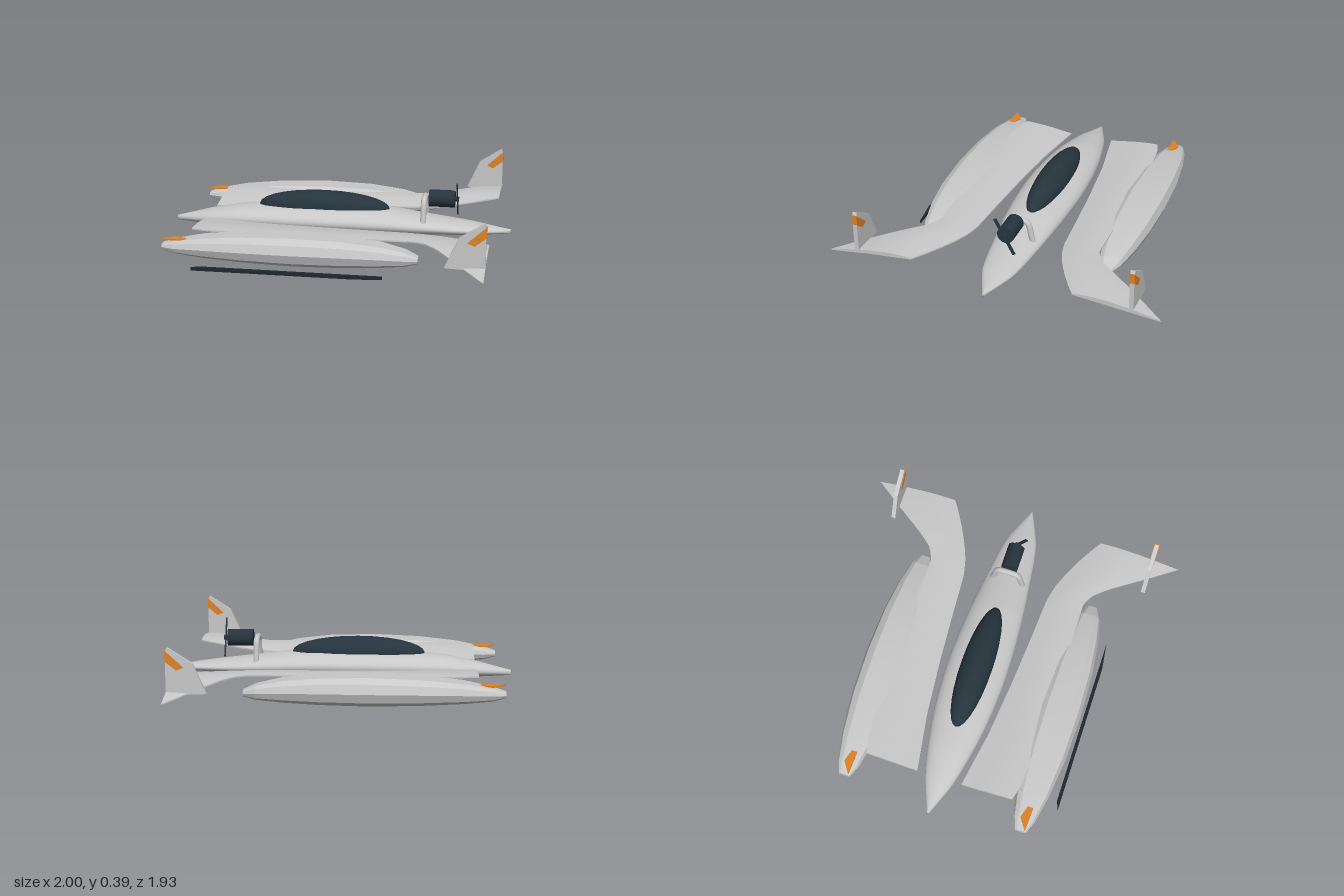
import * as THREE from 'three';
import { toCreasedNormals } from 'three/addons/utils/BufferGeometryUtils.js';

const material = (name, color, flatShading = false) =>
  Object.assign(new THREE.MeshStandardMaterial({ color, flatShading }), { name });

// Skin a list of stations { x, ring }, each ring running from +z over +y as [z, y]
function loft(stations) {
  const n = stations[0].ring.length, pos = [], index = [];
  stations.forEach(({ x, ring }) => ring.forEach(([z, y]) => pos.push(x, y, z)));
  for (let i = 0; i < stations.length - 1; i++) {
    for (let j = 0; j < n; j++) {
      const k = (j + 1) % n, a = i * n, b = a + n;
      index.push(a + j, b + j, a + k, b + j, b + k, a + k);
    }
  }
  const e = (stations.length - 1) * n;
  for (let j = 1; j < n - 1; j++) index.push(0, j, j + 1, e, e + j + 1, e + j);
  const g = new THREE.BufferGeometry();
  g.setAttribute('position', new THREE.Float32BufferAttribute(pos, 3));
  g.setIndex(index);
  g.computeVertexNormals();
  return g;
}

// Smooth curve through the first two numbers of each row
const sample = (rows, count, pick) =>
  new THREE.CatmullRomCurve3(rows.map(pick)).getPoints(count);

// Flat outline in x and y with a thickness, centred on z
function plate(points, thickness) {
  const shape = new THREE.Shape(points.map(([x, y]) => new THREE.Vector2(x, y)));
  return new THREE.ExtrudeGeometry(shape, { depth: thickness, bevelEnabled: false })
    .translate(0, 0, -thickness / 2);
}

// Linear interpolation in a table of [input, output]
function lookup(table, v) {
  let i = 1;
  while (i < table.length - 1 && table[i][0] < v) i++;
  const [a, b] = [table[i - 1], table[i]];
  return a[1] + (b[1] - a[1]) * THREE.MathUtils.clamp((v - a[0]) / (b[0] - a[0]), 0, 1);
}

// Hull rows: x, half width, top, bottom
const HULL = [
  [-1, 0.006, 0.1, 0.07], [-0.9, 0.047, 0.125, 0.066], [-0.8, 0.085, 0.15, 0.063],
  [-0.6, 0.132, 0.188, 0.06], [-0.4, 0.163, 0.206, 0.06], [-0.15, 0.18, 0.217, 0.06],
  [0.1, 0.175, 0.215, 0.061], [0.3, 0.16, 0.202, 0.064], [0.5, 0.137, 0.175, 0.07],
  [0.78, 0.095, 0.142, 0.078], [0.9, 0.05, 0.125, 0.082], [1, 0.006, 0.112, 0.086],
];
// Float rows: x, half width, top, bottom
const FLOAT = [
  [-0.935, 0.035, 0.1, 0.068], [-0.86, 0.065, 0.122, 0.052], [-0.7, 0.098, 0.152, 0.04],
  [-0.46, 0.125, 0.175, 0.03], [-0.18, 0.134, 0.185, 0.024], [0.1, 0.124, 0.178, 0.028],
  [0.3, 0.1, 0.157, 0.036], [0.45, 0.068, 0.125, 0.046], [0.52, 0.034, 0.095, 0.06],
];
const FLOAT_SECTION = [[1, 0], [0.86, 0.65], [0.53, 1], [-0.53, 1], [-0.86, 0.65],
  [-1, 0], [-0.86, -0.65], [-0.53, -1], [0.53, -1], [0.86, -0.65]];
// Wing edges as x, z and its arch as z, y
const WING_INNER = [[-0.79, 0.134], [-0.45, 0.19], [-0.1, 0.225], [0.2, 0.247], [0.45, 0.263],
  [0.55, 0.285], [0.65, 0.325], [0.75, 0.375], [0.85, 0.432], [0.905, 0.47]];
const WING_OUTER = [[-0.79, 0.44], [-0.7, 0.465], [-0.5, 0.48], [0.2, 0.485], [0.48, 0.482],
  [0.55, 0.512], [0.62, 0.59], [0.7, 0.697], [0.78, 0.805], [0.905, 0.963]];
const WING_ARCH = [[0.13, 0.128], [0.2, 0.132], [0.3, 0.144], [0.4, 0.156], [0.5, 0.163],
  [0.6, 0.161], [0.7, 0.15], [0.8, 0.136], [0.963, 0.11]];

function wingGeometry(side) {
  const stations = [], steps = 44, across = 12;
  for (let i = 0; i <= steps; i++) {
    const x = THREE.MathUtils.lerp(-0.79, 0.905, i / steps);
    const zi = lookup(WING_INNER, x), zo = lookup(WING_OUTER, x);
    const upper = [], lower = [];
    for (let j = 0; j <= across; j++) {
      const u = j / across, z = zo + (zi - zo) * u, y = lookup(WING_ARCH, z);
      const h = 0.004 + 0.007 * Math.sin(Math.PI * u);
      upper.push([z, y + h]);
      lower.unshift([z, y - h]);
    }
    let ring = [...upper, ...lower];
    if (side < 0) ring = ring.map(([z, y]) => [-z, y]).reverse();
    stations.push({ x, ring });
  }
  return toCreasedNormals(loft(stations), 0.7);
}

export function createModel() {
  const model = new THREE.Group();
  model.name = 'seaplane';
  const grey = material('paleGrey', 0xc8c8c8);
  const greyFlat = grey;
  const dark = material('darkSlate', 0x26343d);
  const black = material('paddleBlack', 0x20272c);
  const orange = material('orange', 0xe08226);
  const add = (name, geometry, mat, x = 0, y = 0, z = 0) => {
    const mesh = new THREE.Mesh(geometry, mat);
    mesh.name = name;
    mesh.position.set(x, y, z);
    model.add(mesh);
    return mesh;
  };

  // Slim pointed hull
  const widths = sample(HULL, 44, r => new THREE.Vector3(r[0], r[1], 0));
  add('hull', loft(widths.map(p => {
    const top = lookup(HULL.map(r => [r[0], r[2]]), p.x);
    const bottom = lookup(HULL.map(r => [r[0], r[3]]), p.x);
    const ring = Array.from({ length: 28 }, (_, j) => {
      const a = j / 28 * Math.PI * 2;
      return [Math.max(p.y, 0.004) * Math.cos(a), (top + bottom) / 2 + (top - bottom) / 2 * Math.sin(a)];
    });
    return { x: p.x, ring };
  })), grey);

  // Canopy
  const canopy = new THREE.SphereGeometry(1, 24, 14).rotateZ(Math.PI / 2).scale(0.39, 0.095, 0.095);
  add('canopy', canopy, dark, -0.1, 0.2, 0);

  for (const side of [1, -1]) {
    const label = side > 0 ? 'left' : 'right';
    add(label + 'Wing', wingGeometry(side), grey);

    // Faceted float
    const float = loft(FLOAT.map(([x, w, top, bottom]) => ({
      x, ring: FLOAT_SECTION.map(([z, y]) =>
        [side * 0.535 + z * w, (top + bottom) / 2 + y * (top - bottom) / 2]),
    })));
    add(label + 'Float', toCreasedNormals(float, 0.15), greyFlat);

    // Orange plate on the float bow, same way round on both sides
    const bow = plate([[-0.935, -0.028], [-0.785, -0.035], [-0.785, -0.003], [-0.865, 0.02]], 0.009)
      .rotateX(-Math.PI / 2);
    add(label + 'BowMarker', bow, orange, 0, 0.13, side * 0.535);

    // Tail fin with its orange flash
    add(label + 'Fin', plate([[0.685, 0.135], [0.905, 0.125], [0.905, 0.365], [0.895, 0.387], [0.76, 0.3]], 0.025),
      grey, 0, 0, side * 0.8);
    add(label + 'FinFlash', plate([[0.807, 0.28], [0.845, 0.263], [0.907, 0.312], [0.907, 0.372]], 0.03),
      orange, 0, 0, side * 0.8);
  }

  // Engine arch
  const archPoints = [[0.1, 0.12], [0.085, 0.19], [0.066, 0.265], [0.045, 0.28],
    [-0.045, 0.28], [-0.066, 0.265], [-0.085, 0.19], [-0.1, 0.12]];
  const archPath = new THREE.CatmullRomCurve3(archPoints.map(([z, y]) => new THREE.Vector3(0, y, z)));
  add('engineArch', new THREE.TubeGeometry(archPath, 40, 0.017, 10), grey, 0.497, 0, 0);

  // Engine, hub and two-bladed propeller
  add('engine', new THREE.CylinderGeometry(0.05, 0.05, 0.15, 16).rotateZ(Math.PI / 2), dark, 0.597, 0.28, 0);
  add('propellerHub', new THREE.CylinderGeometry(0.015, 0.015, 0.03, 12).rotateZ(Math.PI / 2), dark, 0.68, 0.28, 0);
  const blades = add('propeller', new THREE.BoxGeometry(0.007, 0.235, 0.018), dark, 0.686, 0.28, 0);
  blades.rotation.x = 0.49;

  // Long paddle beside the left float
  const paddle = plate([[-0.73, -0.703], [0.18, -0.703], [0.34, -0.683], [-0.68, -0.683]], 0.02)
    .rotateX(-Math.PI / 2);
  add('paddle', paddle, black, 0, 0.012, 0);

  const box = new THREE.Box3().setFromObject(model);
  model.position.y = -box.min.y;
  return model;
}
